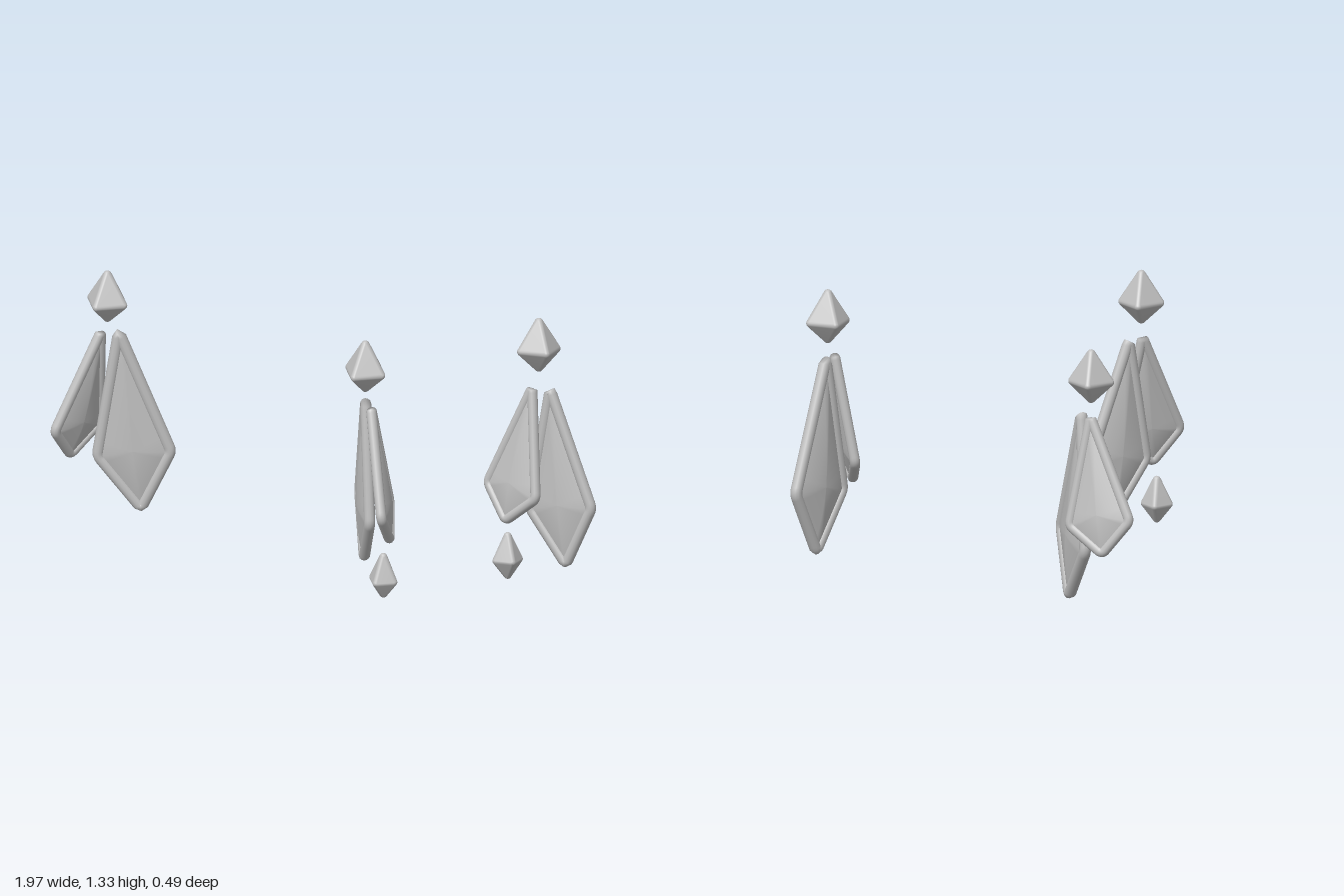
import * as THREE from 'three';
import { mergeVertices } from 'three/addons/utils/BufferGeometryUtils.js';
import { ConvexGeometry } from 'three/addons/geometries/ConvexGeometry.js';

const V = (x, y, z) => new THREE.Vector3(x, y, z);

// Rounded four-sided double pyramid: the hull of a small ball at each corner
function gemGeometry(radius, top, girdle, bottom, round) {
  const ball = new THREE.IcosahedronGeometry(round, 2).getAttribute('position');
  const r = radius - round;
  const corners = [
    V(0, top - round, 0), V(0, bottom + round, 0),
    V(r, girdle, 0), V(-r, girdle, 0), V(0, girdle, r), V(0, girdle, -r),
  ];
  const points = [];
  for (const c of corners) {
    for (let i = 0; i < ball.count; i++) points.push(new THREE.Vector3().fromBufferAttribute(ball, i).add(c));
  }
  const geo = new ConvexGeometry(points);
  geo.deleteAttribute('normal');
  const merged = mergeVertices(geo, 1e-5);
  merged.computeVertexNormals();
  return merged;
}

// Tube that follows a closed polygon with softened corners
function rimGeometry(corners, radius, soft) {
  const path = new THREE.CurvePath();
  const n = corners.length;
  const toward = (a, b) => a.clone().add(b.clone().sub(a).setLength(soft));
  for (let i = 0; i < n; i++) {
    const a = corners[i], b = corners[(i + 1) % n], c = corners[(i + 2) % n];
    path.add(new THREE.LineCurve3(toward(a, b), toward(b, a)));
    path.add(new THREE.QuadraticBezierCurve3(toward(b, a), b, toward(b, c)));
  }
  return new THREE.TubeGeometry(path, 160, radius, 12, true);
}

// Domed panel: the outline shrunk toward its centre in rings, front then back
function panelGeometry(corners, centre, bulge) {
  const outline = [];
  const per = 8;
  corners.forEach((c, i) => {
    for (let k = 0; k < per; k++) outline.push(c.clone().lerp(corners[(i + 1) % 4], k / per));
  });
  const front = [0.001, 0.2, 0.4, 0.6, 0.75, 0.88, 1].map((s) => [s, 0.01 + bulge * (1 - s ** 1.8)]);
  const rings = [...front, ...front.slice().reverse().map(([s, h]) => [s, -h])];
  const n = outline.length, pos = [], index = [];
  rings.forEach(([s, h], r) => {
    outline.forEach((p, i) => {
      const q = centre.clone().lerp(p, s);
      pos.push(q.x, q.y, h);
      if (r < rings.length - 1) {
        const a = r * n + i, b = r * n + ((i + 1) % n);
        index.push(a, a + n, b + n, a, b + n, b);
      }
    });
  });
  const geo = new THREE.BufferGeometry();
  geo.setAttribute('position', new THREE.Float32BufferAttribute(pos, 3));
  geo.setIndex(index);
  geo.computeVertexNormals();
  return geo;
}

// Kite blade hung from its top tip to its bottom tip, spread along "across"
function blade(name, { top, bottom, across, half, shoulder, rim, bulge }, material) {
  const up = top.clone().sub(bottom);
  const length = up.length() - rim;
  up.normalize();
  const side = across.clone().addScaledVector(up, -across.dot(up)).normalize();
  const w = half - rim;
  // tube centre line, counter-clockwise
  const corners = [V(0, -rim, 0), V(-w, -shoulder, 0), V(0, -length, 0), V(w, -shoulder, 0)];
  const upper = corners[0].distanceTo(corners[1]);
  const lower = corners[1].distanceTo(corners[2]);
  const centre = corners[0].clone().lerp(corners[2], upper / (upper + lower));

  const group = new THREE.Group();
  group.name = name;
  const edge = new THREE.Mesh(rimGeometry(corners, rim, 0.025), material);
  edge.name = 'bladeRim';
  const panel = new THREE.Mesh(panelGeometry(corners, centre, bulge), material);
  panel.name = 'bladePanel';
  group.add(edge, panel);
  const m = new THREE.Matrix4().makeBasis(side, up, side.clone().cross(up)).setPosition(top);
  m.decompose(group.position, group.quaternion, group.scale);
  return group;
}

export function createModel() {
  const grey = new THREE.MeshStandardMaterial({ color: 0xc0c0c0 });
  grey.name = 'silver grey';
  const model = new THREE.Group();
  model.name = 'earrings';

  const gem = (name, geo, x, z) => {
    const mesh = new THREE.Mesh(geo, grey);
    mesh.name = name;
    mesh.position.set(x, 0, z);
    return mesh;
  };
  const studGeo = gemGeometry(0.115, 1.335, 1.17, 1.06, 0.022);

  // Right earring: stud gem and two blades
  const right = new THREE.Group();
  right.name = 'rightEarring';
  right.add(
    gem('studGem', studGeo, -0.793, 0),
    blade('largeBlade', {
      top: V(-0.762, 1.02, -0.05), bottom: V(-0.675, 0.01, -0.13), across: V(0.37, 0, -0.2),
      half: 0.213, shoulder: 0.69, rim: 0.03, bulge: 0.035,
    }, grey),
    blade('smallBlade', {
      top: V(-0.825, 1.022, 0), bottom: V(-0.965, 0.308, 0.085), across: V(-0.075, 0, 0.36),
      half: 0.185, shoulder: 0.555, rim: 0.026, bulge: 0.028,
    }, grey),
  );

  // Left earring: stud gem, two blades and a drop gem
  const left = new THREE.Group();
  left.name = 'leftEarring';
  left.add(
    gem('studGem', studGeo, 0.755, 0),
    blade('largeBlade', {
      top: V(0.72, 1.005, -0.055), bottom: V(0.66, 0.07, -0.13), across: V(0.25, 0, 0.27),
      half: 0.195, shoulder: 0.63, rim: 0.028, bulge: 0.033,
    }, grey),
    blade('smallBlade', {
      top: V(0.785, 1.005, 0), bottom: V(0.925, 0.285, 0.03), across: V(0.17, 0, 0.32),
      half: 0.183, shoulder: 0.555, rim: 0.026, bulge: 0.028,
    }, grey),
    gem('dropGem', gemGeometry(0.08, 0.242, 0.1, 0.003, 0.02), 0.9, 0.054),
  );

  model.add(right, left);
  return model;
}
